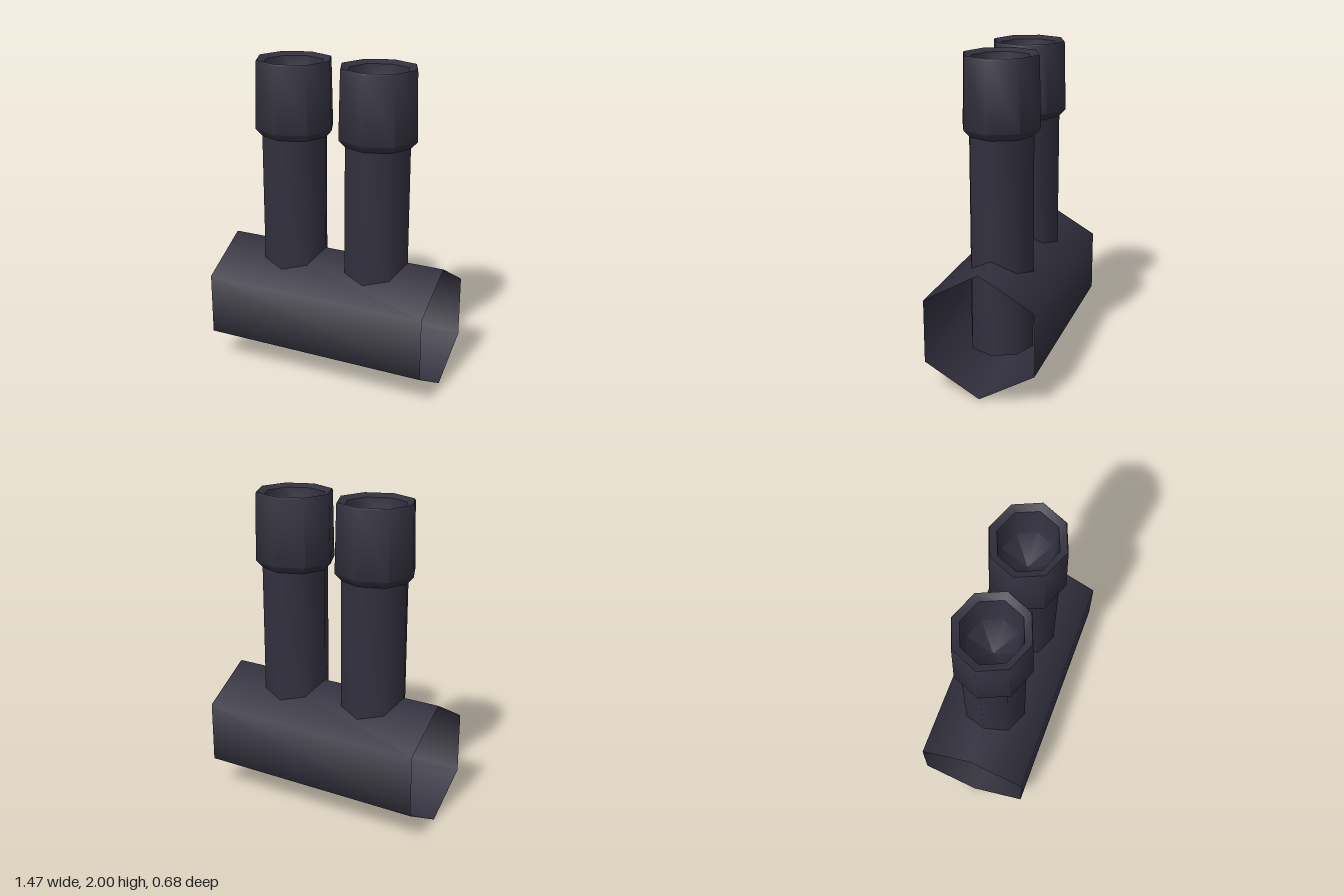
import * as THREE from 'three';
import { toCreasedNormals } from 'three/addons/utils/BufferGeometryUtils.js';

const SIDES = 8;
const DEPTH_SCALE = 0.945;

// Octagonal turned part, smooth around its sides and sharp at its rims
function turned(name, profile, material) {
  const points = profile.map(([r, y]) => new THREE.Vector2(r, y));
  const geometry = toCreasedNormals(new THREE.LatheGeometry(points, SIDES), 0.95);
  const mesh = new THREE.Mesh(geometry, material);
  mesh.name = name;
  mesh.scale.z = DEPTH_SCALE;
  return mesh;
}

export function createModel() {
  const model = new THREE.Group();
  model.name = 'twinPipe';
  const metal = new THREE.MeshStandardMaterial({ color: 0x32303e, side: THREE.DoubleSide });
  metal.name = 'dark gunmetal';

  // Open six-sided sleeve lying along x, with a ridge at top and bottom
  const sleeveGeometry = new THREE.CylinderGeometry(0.395, 0.395, 1.47, 6, 1, true);
  sleeveGeometry.rotateY(Math.PI / 2).rotateZ(Math.PI / 2);
  const sleeve = new THREE.Mesh(sleeveGeometry, metal);
  sleeve.name = 'sleeve';
  sleeve.position.y = 0.395;
  model.add(sleeve);

  // Two upright pipes, each ending in a wider hollow muzzle
  for (const side of [-1, 1]) {
    const pipe = new THREE.Group();
    pipe.name = side > 0 ? 'leftPipe' : 'rightPipe';
    pipe.position.x = side * 0.285;
    pipe.add(turned('shaft', [[0, 0.175], [0.215, 0.175], [0.215, 1.525]], metal));
    pipe.add(turned('muzzle', [
      [0.215, 1.525], [0.257, 1.57], [0.247, 1.99], [0.242, 2],
      [0.195, 1.98], [0.165, 1.78], [0, 1.64],
    ], metal));
    model.add(pipe);
  }
  return model;
}
